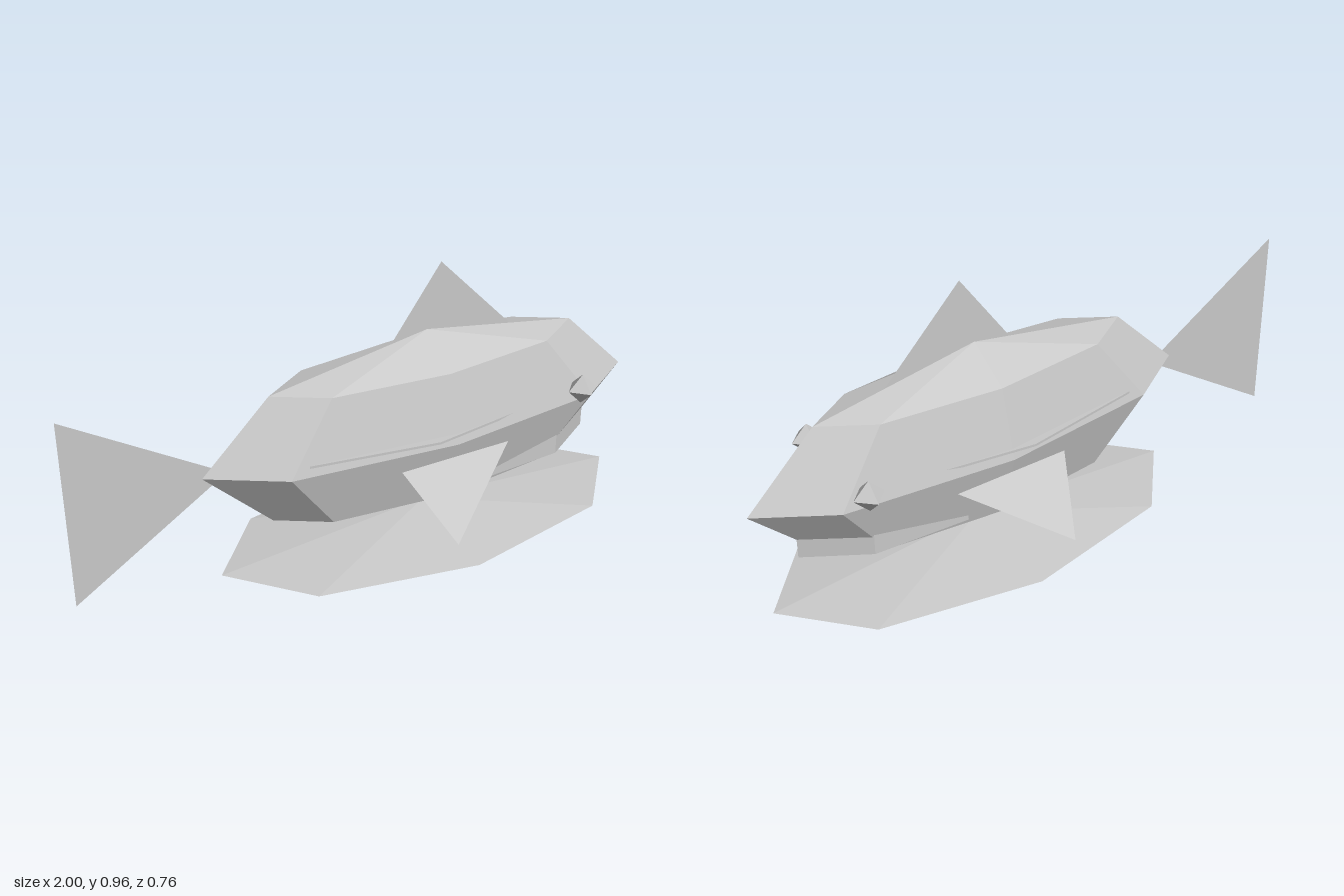
import * as THREE from 'three';

const grey = new THREE.MeshStandardMaterial({ color: 0xc8c8c8, flatShading: true, side: THREE.DoubleSide });
grey.name = 'plain grey';

export function createModel() {
  const group = new THREE.Group();

  const add = (name, geometry, x = 0, y = 0, z = 0) => {
    const mesh = new THREE.Mesh(geometry, grey);
    mesh.name = name;
    mesh.position.set(x, y, z);
    group.add(mesh);
    return mesh;
  };

  // Flat three-cornered fin
  const triangle = (...corners) => {
    const geometry = new THREE.BufferGeometry();
    geometry.setAttribute('position', new THREE.Float32BufferAttribute(corners.flat(), 3));
    geometry.computeVertexNormals();
    return geometry;
  };

  // Horizontal slab from an outline of [x, z] points
  const slab = (outline, height) => {
    const shape = new THREE.Shape(outline.map(([x, z]) => new THREE.Vector2(x, -z)));
    return new THREE.ExtrudeGeometry(shape, { depth: height, bevelEnabled: false }).rotateX(-Math.PI / 2);
  };

  // Faceted body and the flat base below it
  add('body', new THREE.SphereGeometry(1, 8, 4).scale(0.785, 0.315, 0.205), 0.213, 0.43, 0);
  add('base', new THREE.SphereGeometry(1, 8, 2).scale(0.74, 0.058, 0.35), 0.213, 0.059, 0);

  // Upright fins
  add('tailFin', triangle([-1, 0.745, 0], [-1, 0.112, 0], [-0.49, 0.43, 0]));
  add('dorsalFin', triangle([0.26, 0.965, 0], [0.03, 0.65, 0], [0.57, 0.65, 0]));

  // Lower jaw
  const jaw = [[0.853, 0], [0.66, 0.12], [0.34, 0.14], [0.3, 0], [0.34, -0.14], [0.66, -0.12]];
  add('jaw', slab(jaw, 0.075), 0, 0.224, 0);

  // Paired parts
  for (const side of [1, -1]) {
    const label = side > 0 ? 'right' : 'left';
    add(label + 'PectoralFin', triangle(
      [0.015, 0.38, 0.193 * side], [0.11, 0.19, 0.38 * side], [0.41, 0.38, 0.193 * side]));
    add(label + 'Eye', new THREE.OctahedronGeometry(0.052), 0.7, 0.49, 0.183 * side);
    const ridge = [[-0.28, 0.145], [0.14, 0.215], [0.48, 0.165]].map(([x, z]) => [x, z * side]);
    add(label + 'SideRidge', slab(ridge, 0.008), 0, 0.457, 0);
  }

  return group;
}
